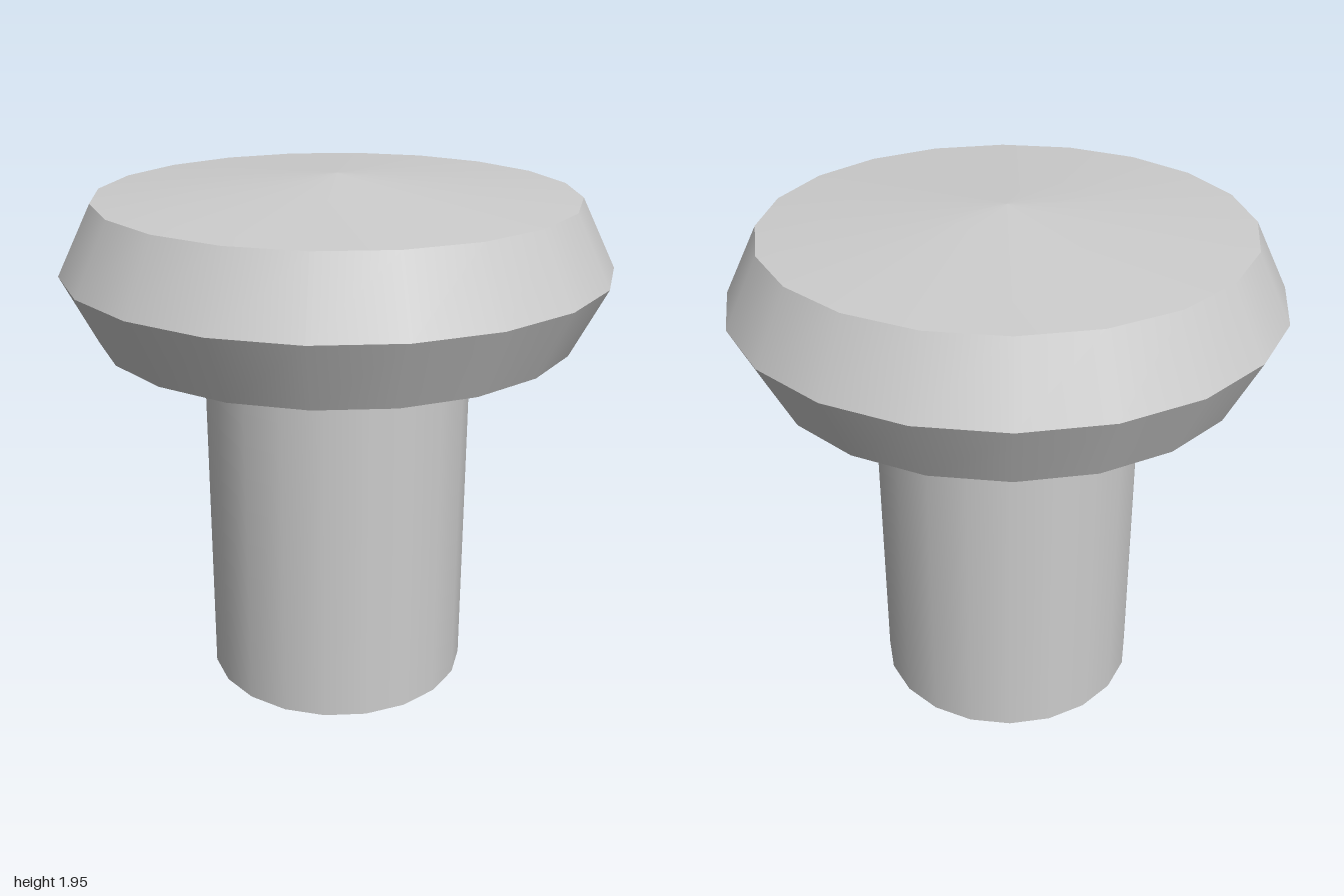
import * as THREE from 'three';

const SIDES = 20;

export function createModel() {
  const model = new THREE.Group();
  model.name = 'knob';
  const grey = new THREE.MeshStandardMaterial({ color: 0xcccccc });
  grey.name = 'light grey';

  // One open ring, smooth around and with sharp edges to its neighbours
  function band(name, r0, y0, r1, y1, parent) {
    const geometry = new THREE.CylinderGeometry(r1, r0, y1 - y0, SIDES, 1, true);
    geometry.translate(0, (y0 + y1) / 2, 0);
    const mesh = new THREE.Mesh(geometry, grey);
    mesh.name = name;
    parent.add(mesh);
  }

  // Stem with a flat base
  const stem = new THREE.Group();
  stem.name = 'stem';
  band('stemWall', 0.5, 0, 0.5, 1.255, stem);
  const base = new THREE.Mesh(new THREE.CircleGeometry(0.5, SIDES).rotateX(Math.PI / 2), grey);
  base.name = 'stemBase';
  stem.add(base);

  // Head: flared underside, bevelled rim and shallow crown
  const head = new THREE.Group();
  head.name = 'head';
  band('underside', 0.5, 1.255, 0.875, 1.38, head);
  band('lowerBevel', 0.875, 1.38, 1, 1.63, head);
  band('upperBevel', 1, 1.63, 0.875, 1.88, head);
  band('crown', 0.875, 1.88, 0, 1.953, head);

  model.add(stem, head);
  return model;
}
